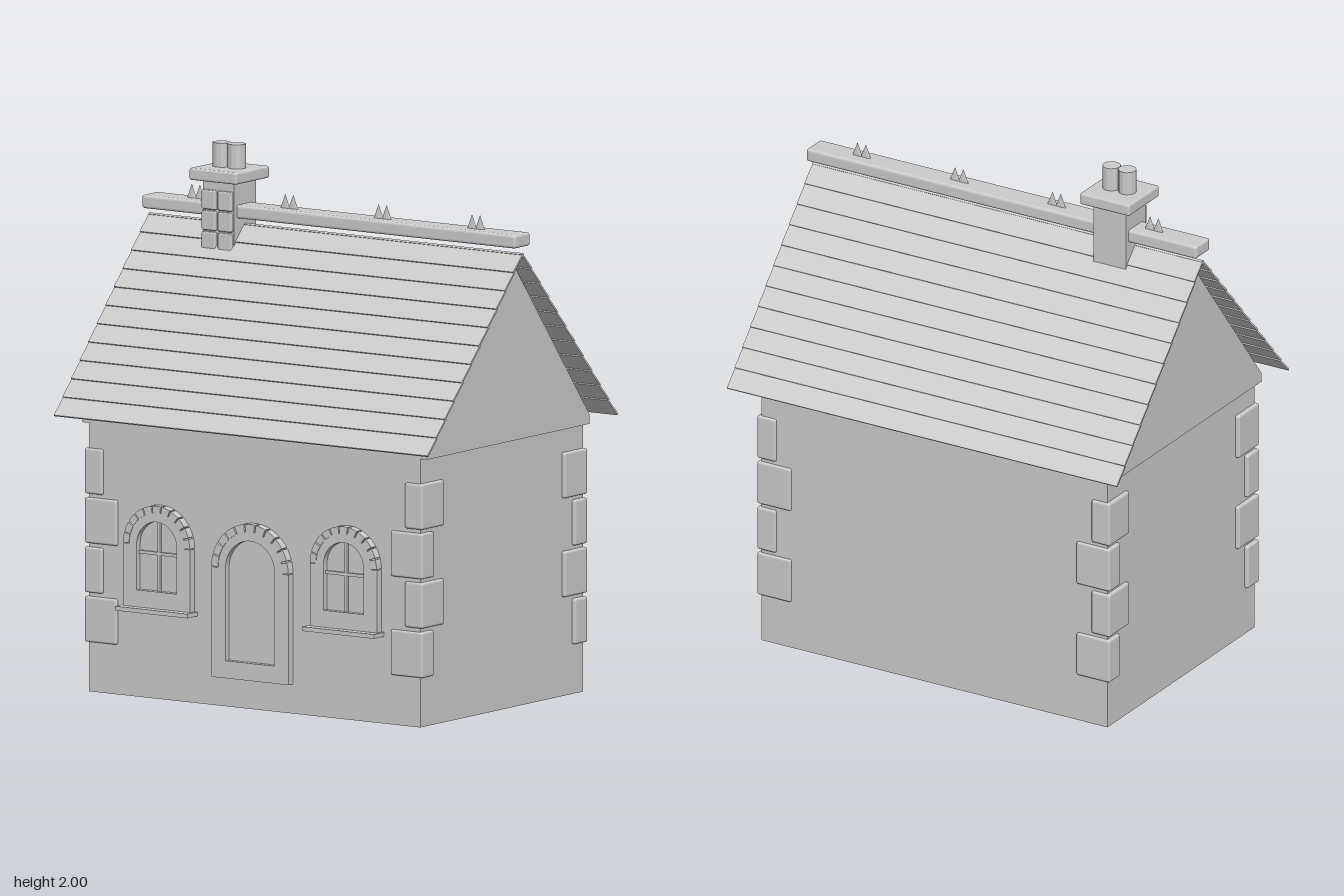
import * as THREE from 'three';
import { RoundedBoxGeometry } from 'three/addons/geometries/RoundedBoxGeometry.js';

const material = new THREE.MeshStandardMaterial({ color: 0xcccccc, flatShading: true });

function add(parent, name, geometry, x = 0, y = 0, z = 0) {
  const mesh = new THREE.Mesh(geometry, material);
  mesh.name = name;
  mesh.position.set(x, y, z);
  parent.add(mesh);
  return mesh;
}

function group(parent, name, x = 0, y = 0, z = 0) {
  const g = new THREE.Group();
  g.name = name;
  g.position.set(x, y, z);
  parent.add(g);
  return g;
}

const box = (w, h, d) => new THREE.BoxGeometry(w, h, d);
const rounded = (w, h, d, r = 0.008) => new RoundedBoxGeometry(w, h, d, 2, r);
const extrude = (shape, depth) =>
  new THREE.ExtrudeGeometry(shape, { depth, bevelEnabled: false, curveSegments: 16 });

// Round-headed outline: straight sides up to the spring line at y = 0
function archOutline(target, radius, bottom) {
  target.moveTo(-radius, bottom);
  target.lineTo(radius, bottom);
  target.lineTo(radius, 0);
  target.absarc(0, 0, radius, 0, Math.PI, false);
  target.lineTo(-radius, bottom);
  return target;
}

// Arched stone surround with a recessed panel and a ring of wedge stones
function archedOpening(parent, name, x, spring, outer, mid, inner, bottom, innerBottom, stones) {
  const g = group(parent, name, x, spring, 0.51);

  // Surround: full width below the spring line, narrower under the wedge stones
  const shape = new THREE.Shape();
  shape.moveTo(-outer, bottom);
  shape.lineTo(outer, bottom);
  shape.lineTo(outer, 0);
  shape.lineTo(mid, 0);
  shape.absarc(0, 0, mid, 0, Math.PI, false);
  shape.lineTo(-outer, 0);
  shape.lineTo(-outer, bottom);
  shape.holes.push(archOutline(new THREE.Path(), inner, innerBottom));
  add(g, 'surround', extrude(shape, 0.04));
  add(g, 'panel', extrude(archOutline(new THREE.Shape(), inner + 0.005, innerBottom - 0.005), 0.017));

  // Wedge stones separated by narrow joints
  const step = Math.PI / stones;
  for (let i = 0; i < stones; i++) {
    const a = i * step + step * 0.06, b = (i + 1) * step - step * 0.06;
    const wedge = new THREE.Shape();
    wedge.absarc(0, 0, outer, a, b, false);
    wedge.absarc(0, 0, mid - 0.002, b, a, true);
    add(g, 'archStone', new THREE.ExtrudeGeometry(wedge, { depth: 0.042, bevelEnabled: false, curveSegments: 3 }));
  }
  return g;
}

export function createModel() {
  const model = new THREE.Group();
  model.name = 'cottage';

  // Walls and gable block
  add(model, 'walls', box(1.49, 1, 1.04), 0, 0.5, 0);
  const gable = new THREE.Shape([[-0.52, 1], [0.52, 1], [0.52, 1.035], [0, 1.7], [-0.52, 1.035]]
    .map(([z, y]) => new THREE.Vector2(z, y)));
  const gableGeometry = extrude(gable, 1.55).translate(0, 0, -0.775).rotateY(Math.PI / 2);
  add(model, 'gable', gableGeometry);

  // Corner stones, alternating their long side
  const corners = group(model, 'cornerStones');
  for (const sx of [-1, 1]) for (const sz of [-1, 1]) for (let i = 0; i < 4; i++) {
    const w = i % 2 ? 0.08 : 0.145, d = i % 2 ? 0.145 : 0.08;
    add(corners, 'cornerStone', rounded(w, 0.17, d),
      sx * (0.76 - w / 2), 0.27 + i * 0.184, sz * (0.53 - d / 2));
  }

  // Door
  archedOpening(model, 'door', 0, 0.52, 0.173, 0.145, 0.11, -0.41, -0.345, 11);

  // Windows with sill and glazing bars
  for (const s of [-1, 1]) {
    const w = archedOpening(model, 'window', s * 0.42, 0.573, 0.15, 0.125, 0.09, -0.235, -0.17, 11);
    add(w, 'sill', box(0.325, 0.016, 0.075), 0, -0.241, 0.0375);
    add(w, 'uprightBar', box(0.012, 0.26, 0.016), 0, -0.04, 0.018);
    add(w, 'crossBar', box(0.18, 0.012, 0.016), 0, -0.03, 0.018);
  }

  // Roof: overlapping rows of thin boards on both slopes
  const rows = 11, run = 0.604, rise = 0.675, slope = Math.atan2(rise, run);
  const rowLength = Math.hypot(run, rise) / rows;
  for (const s of [-1, 1]) {
    const side = group(model, s > 0 ? 'frontRoof' : 'backRoof');
    side.rotation.y = s > 0 ? 0 : Math.PI;
    for (let i = 0; i < rows; i++) {
      const t = (i + 0.5) / rows;
      const board = add(side, 'roofRow', box(1.68, 0.007, rowLength * 1.08), 0, 1.705 - rise * t, run * t);
      board.rotation.x = slope - 0.06;
    }
  }

  // Ridge beam with pairs of flat spikes
  add(model, 'ridge', rounded(1.68, 0.05, 0.1, 0.01), 0, 1.755, 0);
  for (let i = 0; i < 4; i++) for (const s of [-1, 1]) {
    const spike = add(model, 'ridgeSpike', new THREE.ConeGeometry(0.022, 0.055, 8),
      -0.63 + i * 0.42 + s * 0.018, 1.805, 0);
    spike.scale.z = 0.2;
  }

  // Chimney with facing bricks, cap and two pots
  const chimney = group(model, 'chimney', -0.48, 0, 0);
  add(chimney, 'stack', box(0.14, 0.28, 0.14), 0, 1.73, 0);
  add(chimney, 'cap', rounded(0.214, 0.045, 0.214), 0, 1.888, 0);
  for (const s of [-1, 1]) {
    add(chimney, 'pot', new THREE.CylinderGeometry(0.034, 0.034, 0.1, 12), s * 0.034, 1.95, 0);
    for (let row = 0; row < 3; row++) {
      add(chimney, 'brick', rounded(0.062, 0.072, 0.03, 0.006), s * 0.036, 1.795 - row * 0.078, 0.07);
    }
  }

  return model;
}
